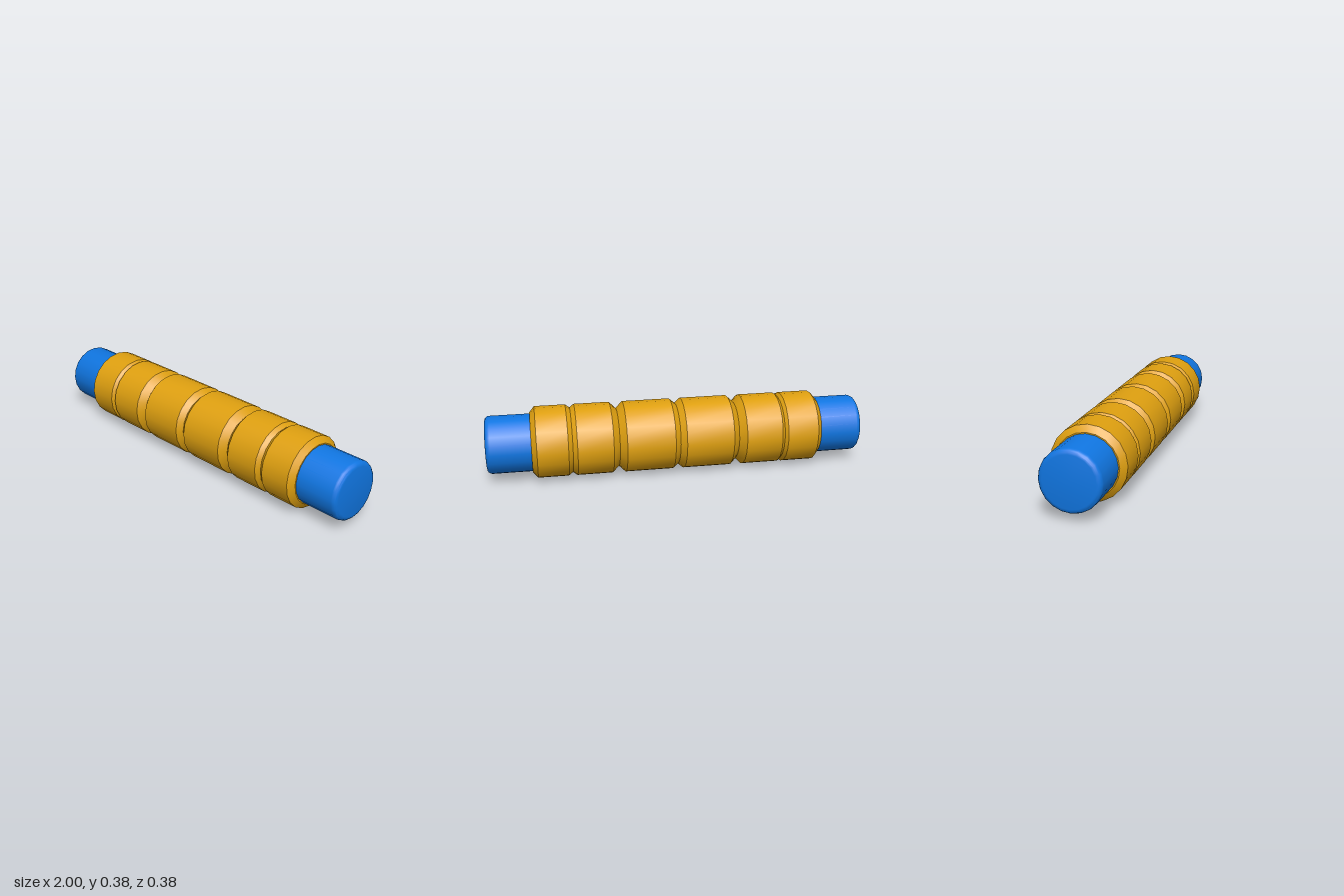
import * as THREE from 'three';
import { toCreasedNormals } from 'three/addons/utils/BufferGeometryUtils.js';

const SIDES = 20;
const AXIS_Y = 0.19;

// Turns a profile of [position along x, radius] around the x axis
function turned(name, profile, material) {
  const points = profile.map(([x, r]) => new THREE.Vector2(r, x));
  const geometry = toCreasedNormals(new THREE.LatheGeometry(points, SIDES), 0.55);
  geometry.rotateZ(-Math.PI / 2);
  geometry.rotateX(-0.02);
  const mesh = new THREE.Mesh(geometry, material);
  mesh.name = name;
  return mesh;
}

export function createModel() {
  const blue = new THREE.MeshStandardMaterial({ color: 0x1076e2 });
  blue.name = 'blue';
  const gold = new THREE.MeshStandardMaterial({ color: 0xdfa010 });
  gold.name = 'gold';

  const model = new THREE.Group();
  model.name = 'segmentedRod';

  // Core rod with softly rounded ends
  const R = 0.152, bevel = 0.025, steps = 4;
  const end = [];
  for (let i = 0; i <= steps; i++) {
    const a = (i / steps) * Math.PI / 2;
    end.push([1 - bevel + bevel * Math.sin(a), R - bevel + bevel * Math.cos(a)]);
  }
  end.push([1, 0]);
  const start = end.map(([x, r]) => [-x, r]).reverse();
  model.add(turned('coreRod', [...start, ...end], blue));

  // Sleeve with chamfered ends and V grooves: [centre, half width, depth radius]
  const S = 0.189;
  const grooves = [
    [-0.564, 0.016, 0.174],
    [-0.32, 0.035, 0.154],
    [-0.003, 0.03, 0.164],
    [0.315, 0.035, 0.154],
    [0.559, 0.023, 0.172],
  ];
  const sleeve = [[-0.772, 0.14], [-0.772, 0.158], [-0.745, S]];
  for (const [x, w, r] of grooves) sleeve.push([x - w, S], [x, r], [x + w, S]);
  sleeve.push([0.742, S], [0.768, 0.158], [0.768, 0.14]);
  model.add(turned('groovedSleeve', sleeve, gold));

  model.position.y = AXIS_Y;
  const root = new THREE.Group();
  root.name = 'model';
  root.add(model);
  return root;
}
